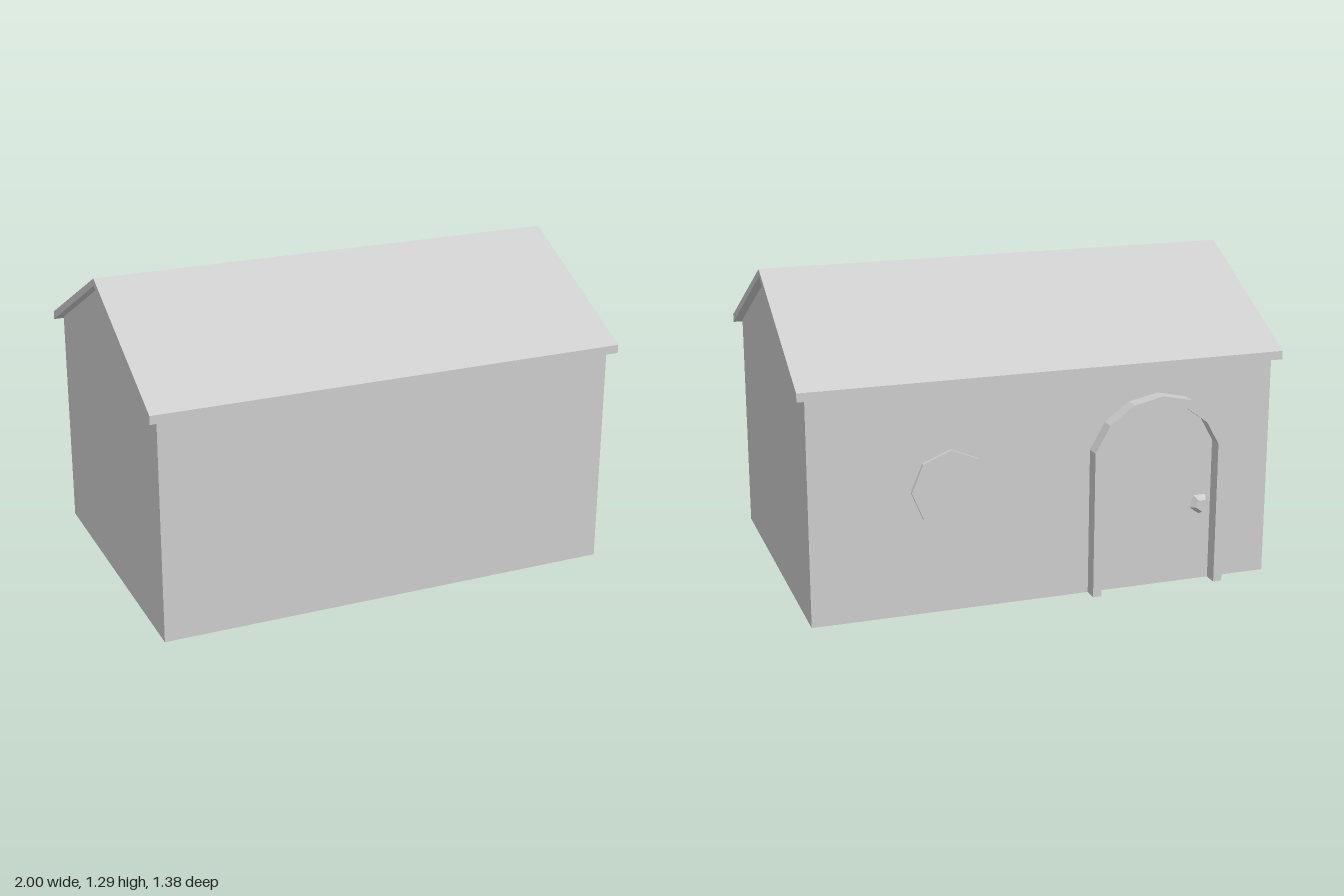
import * as THREE from 'three';

const HALF_X = 0.965, FRONT_Z = 0.66, BACK_Z = -0.63, RIDGE_Z = 0.015;
const EAVE_Y = 0.935, RIDGE_Y = 1.26;

const solid = new THREE.MeshStandardMaterial({ color: 0xcccccc, flatShading: true });
const sheet = new THREE.MeshStandardMaterial({ color: 0xcccccc, flatShading: true, side: THREE.DoubleSide });

const shapeOf = (points) => new THREE.Shape(points.map(([x, y]) => new THREE.Vector2(x, y)));

function add(parent, name, geometry, material, x = 0, y = 0, z = 0) {
  const mesh = new THREE.Mesh(geometry, material);
  mesh.name = name;
  mesh.position.set(x, y, z);
  parent.add(mesh);
  return mesh;
}

// Points of one arched outline, from the +x foot over the top to the -x foot
function archOutline(radius, jamb) {
  const centreY = 0.522, start = THREE.MathUtils.degToRad(17), steps = 6;
  const points = [[jamb, 0]];
  for (let i = 0; i <= steps; i++) {
    const a = start + (Math.PI - 2 * start) * (i / steps);
    points.push([radius * Math.cos(a), centreY + radius * Math.sin(a)]);
  }
  points.push([-jamb, 0]);
  return points;
}

export function createModel() {
  const house = new THREE.Group();
  house.name = 'house';

  // Thin walls, open underneath
  const walls = new THREE.Group();
  walls.name = 'walls';
  house.add(walls);
  const longWall = new THREE.PlaneGeometry(HALF_X * 2, EAVE_Y);
  add(walls, 'frontWall', longWall, sheet, 0, EAVE_Y / 2, FRONT_Z);
  add(walls, 'backWall', longWall, sheet, 0, EAVE_Y / 2, BACK_Z).rotation.y = Math.PI;

  const gable = new THREE.ShapeGeometry(shapeOf([
    [BACK_Z, 0], [FRONT_Z, 0], [FRONT_Z, EAVE_Y], [RIDGE_Z, RIDGE_Y], [BACK_Z, EAVE_Y],
  ])).rotateY(-Math.PI / 2);
  add(walls, 'leftGable', gable, sheet, HALF_X);
  add(walls, 'rightGable', gable, sheet, -HALF_X);

  // Folded roof slab with overhanging eaves
  const roof = new THREE.ExtrudeGeometry(shapeOf([
    [-0.66, 0.92], [RIDGE_Z, RIDGE_Y], [0.69, 0.92],
    [0.69, 0.955], [RIDGE_Z, 1.29], [-0.66, 0.955],
  ]), { depth: 2, bevelEnabled: false }).rotateY(-Math.PI / 2);
  add(house, 'roof', roof, solid, 1);

  // Arched door frame on the back wall
  const R = 0.298, T = 0.038, cos17 = Math.cos(THREE.MathUtils.degToRad(17));
  const frame = new THREE.ExtrudeGeometry(shapeOf([
    ...archOutline(R, R * cos17),
    ...archOutline(R - T, (R - T) * cos17).reverse(),
  ]), { depth: 0.06, bevelEnabled: false });
  add(house, 'doorFrame', frame, solid, -0.465, 0, -0.69);

  // Tapered five-sided door knob
  const knob = new THREE.CylinderGeometry(0.045, 0.027, 0.03, 5).rotateX(Math.PI / 2);
  add(house, 'doorKnob', knob, solid, -0.665, 0.33, BACK_Z - 0.015);

  // Shallow octagonal window
  const pane = new THREE.CylinderGeometry(0.16, 0.16, 0.016, 8).rotateX(Math.PI / 2);
  add(house, 'window', pane, solid, 0.4, 0.51, BACK_Z - 0.008);

  return house;
}
